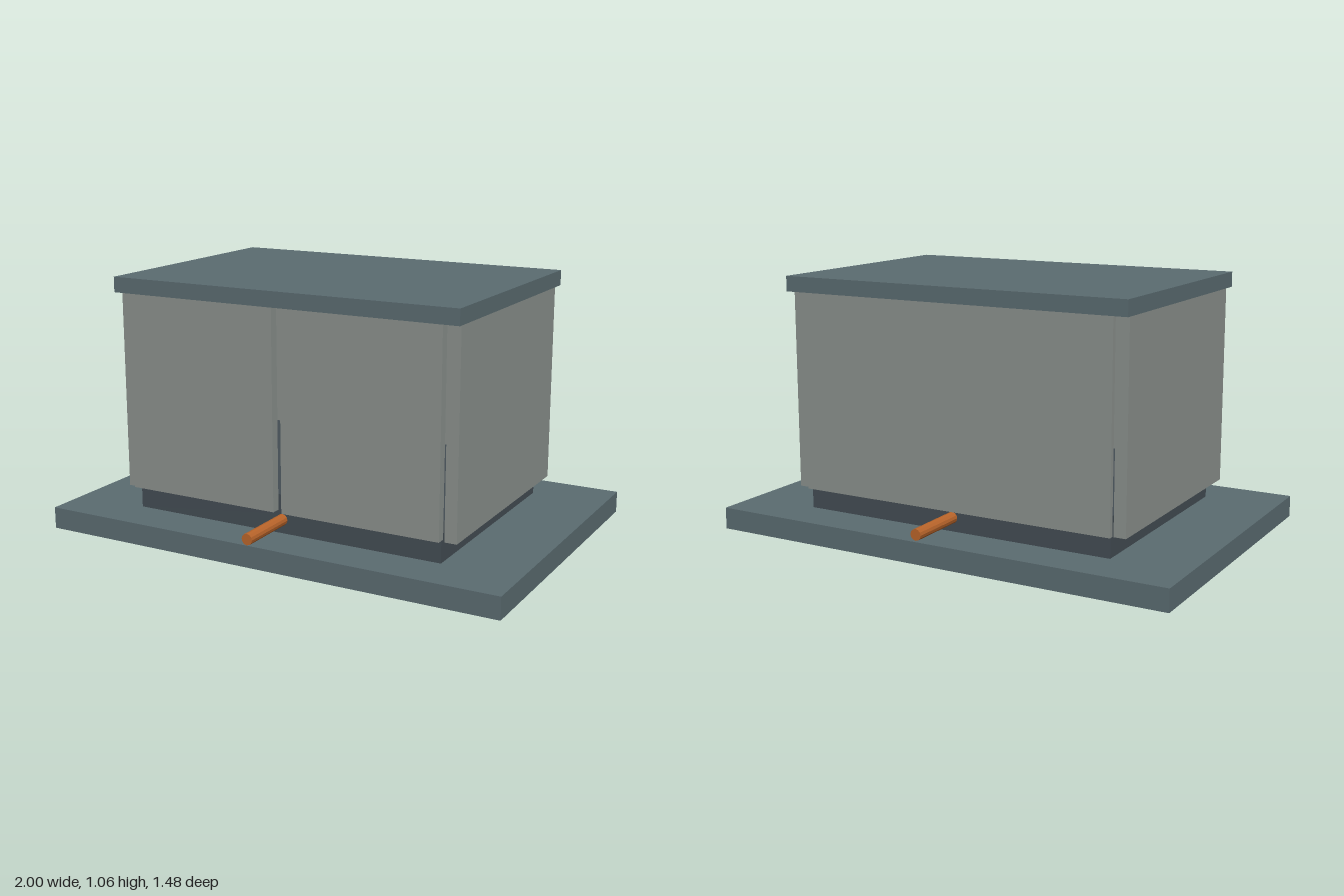
import * as THREE from 'three';

const slate = new THREE.MeshStandardMaterial({ color: 0x5a6b70 });
const dark = new THREE.MeshStandardMaterial({ color: 0x434c53 });
const panel = new THREE.MeshStandardMaterial({ color: 0x8a908c });
const copper = new THREE.MeshStandardMaterial({ color: 0xb8642a, flatShading: true });

// Box given by its limits on each axis
function slab(name, material, [x0, x1], [y0, y1], [z0, z1]) {
  const mesh = new THREE.Mesh(new THREE.BoxGeometry(x1 - x0, y1 - y0, z1 - z0), material);
  mesh.position.set((x0 + x1) / 2, (y0 + y1) / 2, (z0 + z1) / 2);
  mesh.name = name;
  return mesh;
}

export function createModel() {
  const model = new THREE.Group();
  model.name = 'cabinet';

  // Ground slab, plinth and lid
  model.add(
    slab('baseSlab', slate, [-1, 1], [0, 0.09], [-0.667, 0.667]),
    slab('plinth', dark, [-0.685, 0.685], [0.09, 0.25], [-0.48, 0.48]),
    slab('lid', slate, [-0.757, 0.757], [0.997, 1.06], [-0.518, 0.518])
  );

  // Hollow housing: back panel, two side panels and two doors with a gap between
  model.add(slab('backPanel', panel, [-0.692, 0.692], [0.175, 0.997], [-0.5, -0.48]));
  for (const [side, s] of [['left', 1], ['right', -1]]) {
    const span = (a, b) => (s > 0 ? [a, b] : [-b, -a]);
    model.add(
      slab(side + 'SidePanel', panel, span(0.697, 0.747), [0.175, 0.997], [-0.48, 0.48]),
      slab(side + 'Door', panel, span(0.018, 0.692), [0.185, 0.997], [0.48, 0.518])
    );
  }

  // Pipe running through the plinth from front to back
  const pipe = new THREE.Mesh(new THREE.CylinderGeometry(0.023, 0.023, 1.48, 12), copper);
  pipe.rotation.x = Math.PI / 2;
  pipe.position.y = 0.147;
  pipe.name = 'pipe';
  model.add(pipe);

  return model;
}
